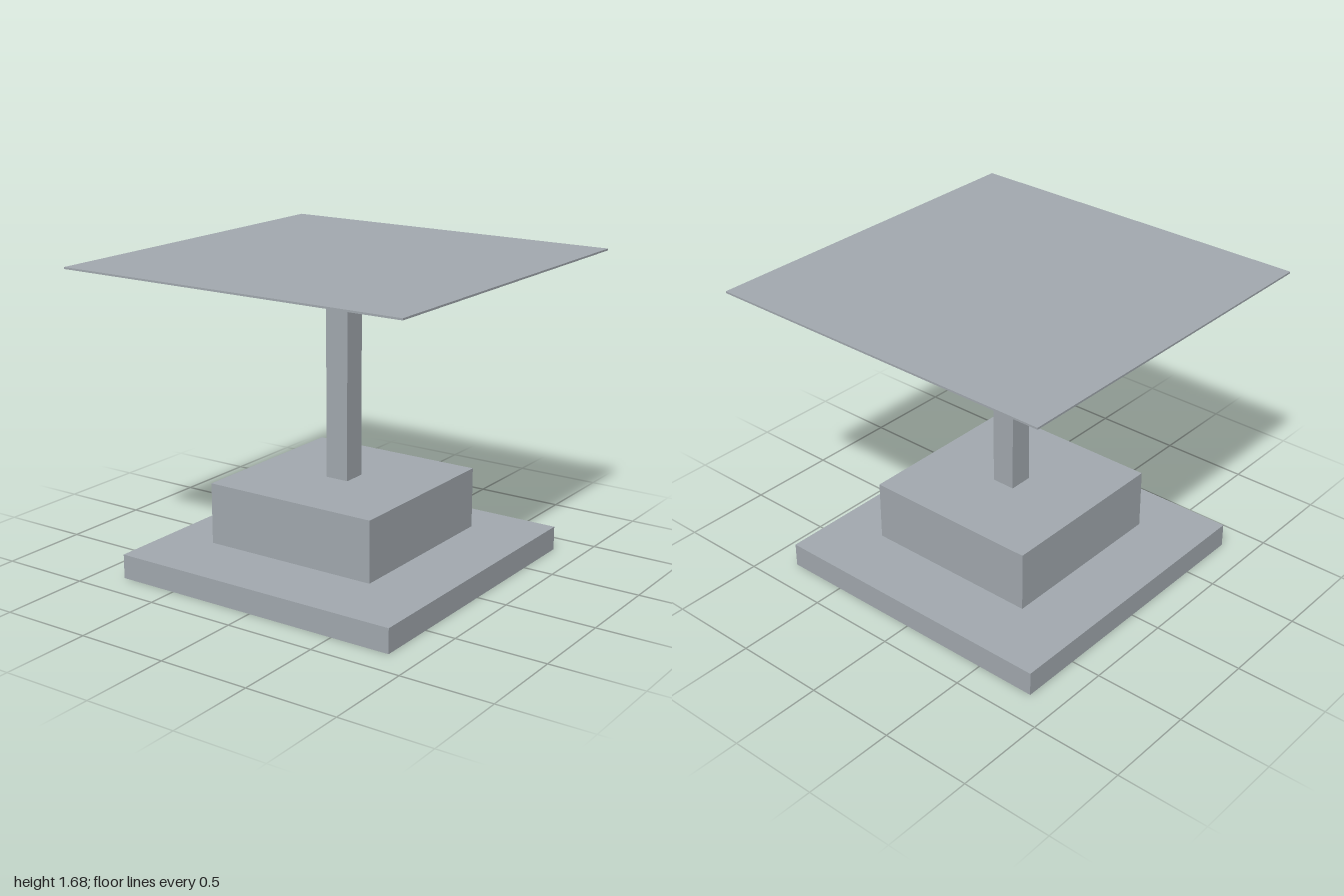
import * as THREE from 'three';

export function createModel() {
  const group = new THREE.Group();
  const grey = new THREE.MeshStandardMaterial({ color: 0xa3aab0 });
  grey.name = 'blue grey';

  // Square slab of the given width between two heights
  const slab = (name, width, bottom, top) => {
    const mesh = new THREE.Mesh(new THREE.BoxGeometry(width, top - bottom, width), grey);
    mesh.name = name;
    mesh.position.y = (bottom + top) / 2;
    group.add(mesh);
  };

  slab('basePlate', 1.667, 0, 0.133);
  slab('pedestalBlock', 1, 0.167, 0.5); // floats just above the base plate
  slab('post', 0.133, 0.5, 1.667);
  slab('tableTop', 2, 1.667, 1.677);

  return group;
}
